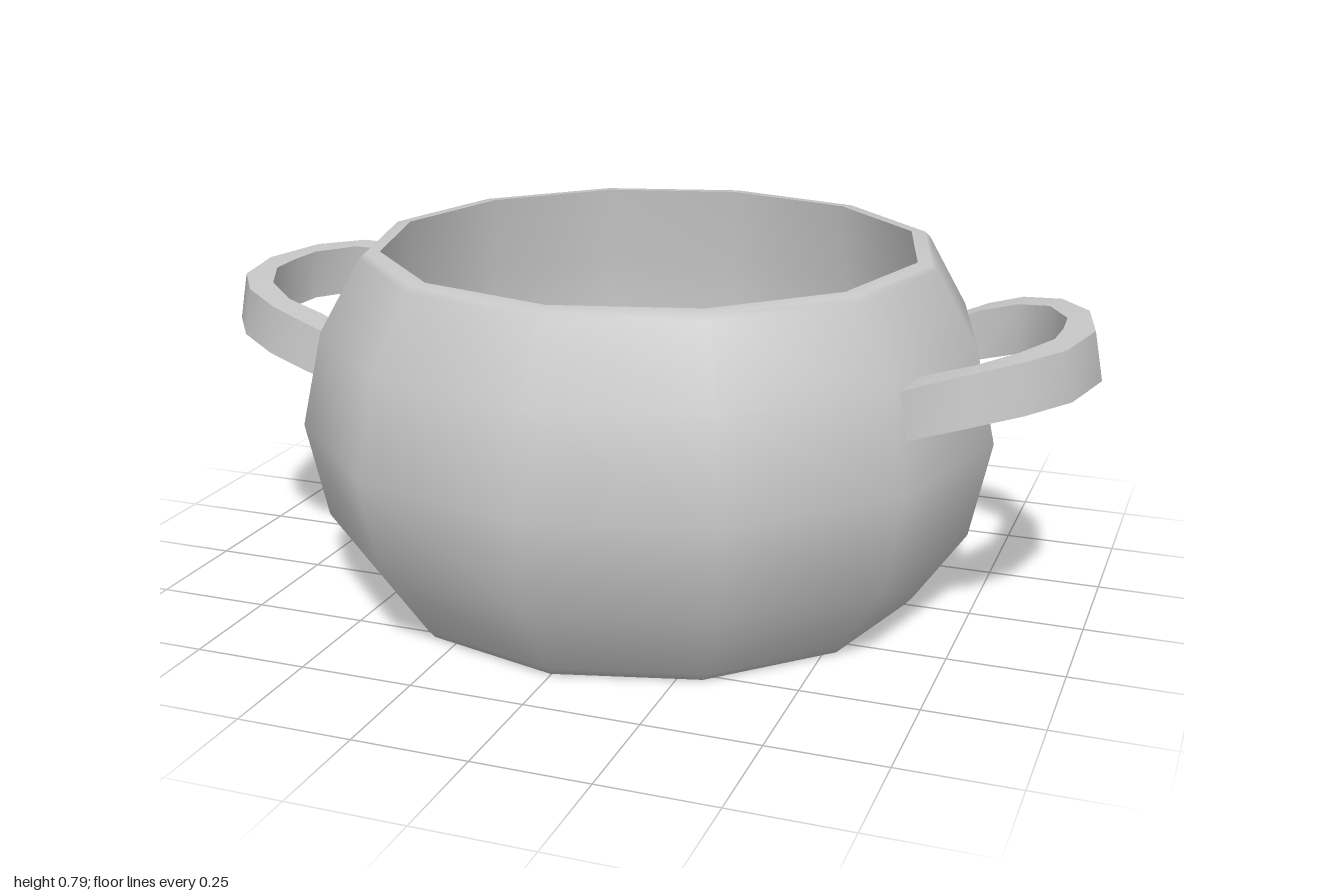
import * as THREE from 'three';
import { mergeGeometries } from 'three/addons/utils/BufferGeometryUtils.js';

const metal = new THREE.MeshStandardMaterial({ color: 0xc8c8c8 });
metal.name = 'grey metal';

// Twelve-sided shell from a [radius, height] profile
function lathe(name, profile) {
  const points = profile.map(([r, y]) => new THREE.Vector2(r, y));
  const mesh = new THREE.Mesh(new THREE.LatheGeometry(points, 12), metal);
  mesh.name = name;
  return mesh;
}

// Smooth strip between two rows of points
function ribbon(a, b) {
  const positions = [];
  const index = [];
  a.forEach((p, i) => {
    positions.push(...p, ...b[i]);
    const k = i * 2;
    if (i < a.length - 1) index.push(k, k + 1, k + 2, k + 1, k + 3, k + 2);
  });
  const geometry = new THREE.BufferGeometry();
  geometry.setAttribute('position', new THREE.Float32BufferAttribute(positions, 3));
  geometry.setIndex(index);
  geometry.computeVertexNormals();
  return geometry;
}

// Mirror half an arc, given from its +z end to the middle
const fullArc = (half) => [...half, ...half.slice(0, -1).reverse().map(([x, z]) => [x, -z])];

// Underside of the handle rises away from the pot and then levels off
const handleHeight = (x) => 0.565 - 0.62 * Math.max(0, 0.98 - x) ** 2;

function handleGeometry() {
  const outer = fullArc([[0.63, 0.345], [0.7, 0.352], [0.785, 0.34], [0.885, 0.278], [0.963, 0.17], [1, 0]]);
  const inner = fullArc([[0.63, 0.27], [0.69, 0.27], [0.78, 0.262], [0.86, 0.2], [0.915, 0.09], [0.92, 0]]);
  // The band leans in towards the pot at its upper edge
  const row = (arc, rise, lean) => arc.map(([x, z], i) => [
    x - lean * Math.max(0, (x - 0.63) / 0.37),
    handleHeight(outer[i][0]) + rise,
    z * (1 - lean * 1.2),
  ]);
  const outerLow = row(outer, 0, 0);
  const outerHigh = row(outer, 0.106, 0.02);
  const innerLow = row(inner, -0.01, 0);
  const innerHigh = row(inner, 0.106, 0.008);
  return mergeGeometries([
    ribbon(outerHigh, outerLow),
    ribbon(outerLow, innerLow),
    ribbon(innerLow, innerHigh),
    ribbon(innerHigh, outerHigh),
  ]);
}

export function createModel() {
  const model = new THREE.Group();
  model.name = 'cookingPot';

  // Bulging body, softly rounded into its flat bottom and its rim
  model.add(lathe('outerBody', [
    [0, 0], [0.57, 0], [0.608, 0.003], [0.624, 0.022], [0.737, 0.185], [0.783, 0.4],
    [0.737, 0.61], [0.645, 0.772], [0.632, 0.784], [0.6, 0.786],
  ]));

  // Hollow interior
  model.add(lathe('innerWall', [[0.6, 0.786], [0.62, 0.6], [0.63, 0.4], [0.6, 0.2], [0.52, 0.08]]));
  model.add(lathe('innerFloor', [[0.52, 0.08], [0, 0.08]]));

  // Looped side handles
  const geometry = handleGeometry();
  for (const [name, turn] of [['leftHandle', 0], ['rightHandle', Math.PI]]) {
    const handle = new THREE.Mesh(geometry, metal);
    handle.name = name;
    handle.rotation.y = turn;
    model.add(handle);
  }
  return model;
}
